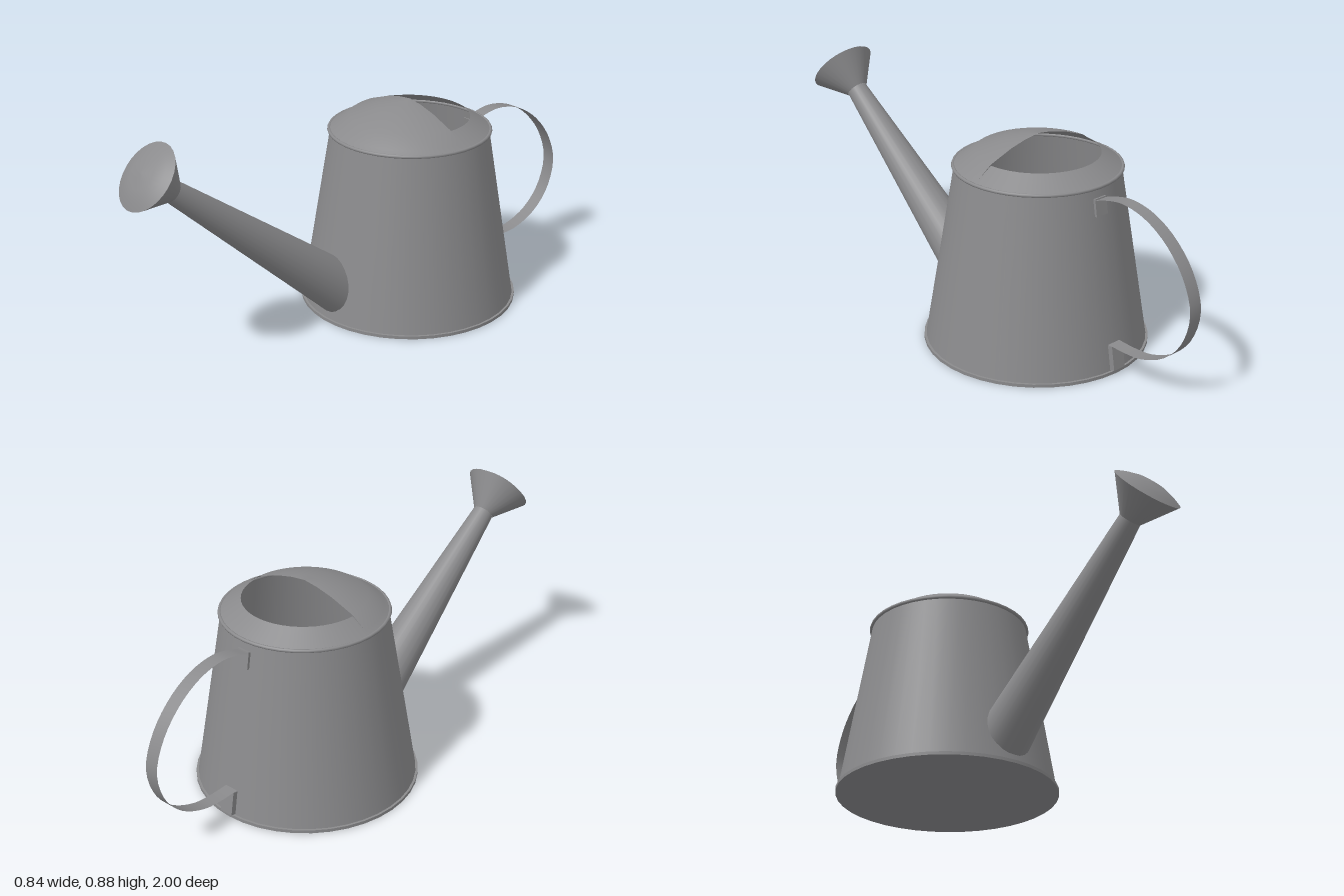
import * as THREE from 'three';

export function createModel() {
  const metal = new THREE.MeshStandardMaterial({ color: 0x8a8a8c, side: THREE.DoubleSide });
  metal.name = 'grey metal';
  const model = new THREE.Group();
  model.name = 'wateringCan';
  const bodyZ = -0.23;

  const add = (name, geometry, parent = model) => {
    const mesh = new THREE.Mesh(geometry, metal);
    mesh.name = name;
    parent.add(mesh);
    return mesh;
  };
  const points = (list) => list.map(([a, b]) => new THREE.Vector2(a, b));

  // Tapered can with a base plate and a rolled top rim
  const can = new THREE.Group();
  can.name = 'can';
  can.position.z = bodyZ;
  model.add(can);
  add('body', new THREE.CylinderGeometry(0.303, 0.412, 0.67, 40, 1, true), can).position.y = 0.343;
  add('basePlate', new THREE.CylinderGeometry(0.42, 0.42, 0.012, 40), can).position.y = 0.006;
  const rim = add('topRim', new THREE.TorusGeometry(0.306, 0.007, 8, 40), can);
  rim.rotation.x = Math.PI / 2;
  rim.position.y = 0.683;

  // Front half is a domed cover, back half a sloping lip round the filling hole
  const dome = points([[0.306, 0.686], [0.285, 0.699], [0.228, 0.739], [0.13, 0.775], [0.06, 0.792], [0, 0.8]]);
  add('frontCover', new THREE.LatheGeometry(dome, 24, -Math.PI / 2, Math.PI), can);
  const lip = points([[0.306, 0.686], [0.285, 0.699], [0.228, 0.735]]);
  add('fillingLip', new THREE.LatheGeometry(lip, 24, Math.PI / 2, Math.PI), can);

  // Spout assembly, built upright and tilted forward; its origin lies near the can wall
  const spout = new THREE.Group();
  spout.name = 'spoutAssembly';
  spout.position.set(0, 0.157, 0.165);
  spout.rotation.x = Math.atan2(0.665, 0.545);
  model.add(spout);
  add('spout', new THREE.CylinderGeometry(0.041, 0.103, 0.96, 24, 1, true), spout).position.y = 0.38;
  add('roseCone', new THREE.CylinderGeometry(0.13, 0.042, 0.12, 28, 1, true), spout).position.y = 0.92;
  const face = points([[0.13, 0.98], [0.1, 0.993], [0.06, 1.005], [0, 1.01]]);
  add('roseFace', new THREE.LatheGeometry(face, 28), spout);

  // Handle: a thin bent strip following a side profile of (z, y)
  const path = new THREE.CatmullRomCurve3(
    [[-0.543, 0.642], [-0.6, 0.66], [-0.67, 0.67], [-0.77, 0.65], [-0.87, 0.59], [-0.955, 0.49],
      [-0.995, 0.37], [-0.965, 0.25], [-0.89, 0.165], [-0.79, 0.12], [-0.71, 0.112], [-0.63, 0.115]]
      .map(([z, y]) => new THREE.Vector3(0, y, z)));
  const steps = 40;
  const strip = new THREE.PlaneGeometry(0.055, 1, 1, steps);
  const pos = strip.attributes.position;
  for (let i = 0; i < pos.count; i++) {
    const p = path.getPoint(Math.floor(i / 2) / steps);
    pos.setXYZ(i, -pos.getX(i), p.y, p.z);
  }
  strip.computeVertexNormals();
  add('handle', strip);

  // Brackets lying along the sloping can wall
  const lean = Math.atan2(0.109, 0.67);
  const bracket = (name, y, z, height, depth) => {
    const mesh = add(name, new THREE.BoxGeometry(0.055, height, depth));
    mesh.position.set(0, y, z);
    mesh.rotation.x = lean;
  };
  bracket('upperBracket', 0.615, -0.545, 0.065, 0.012);
  bracket('lowerBracket', 0.066, -0.645, 0.092, 0.02);

  return model;
}
